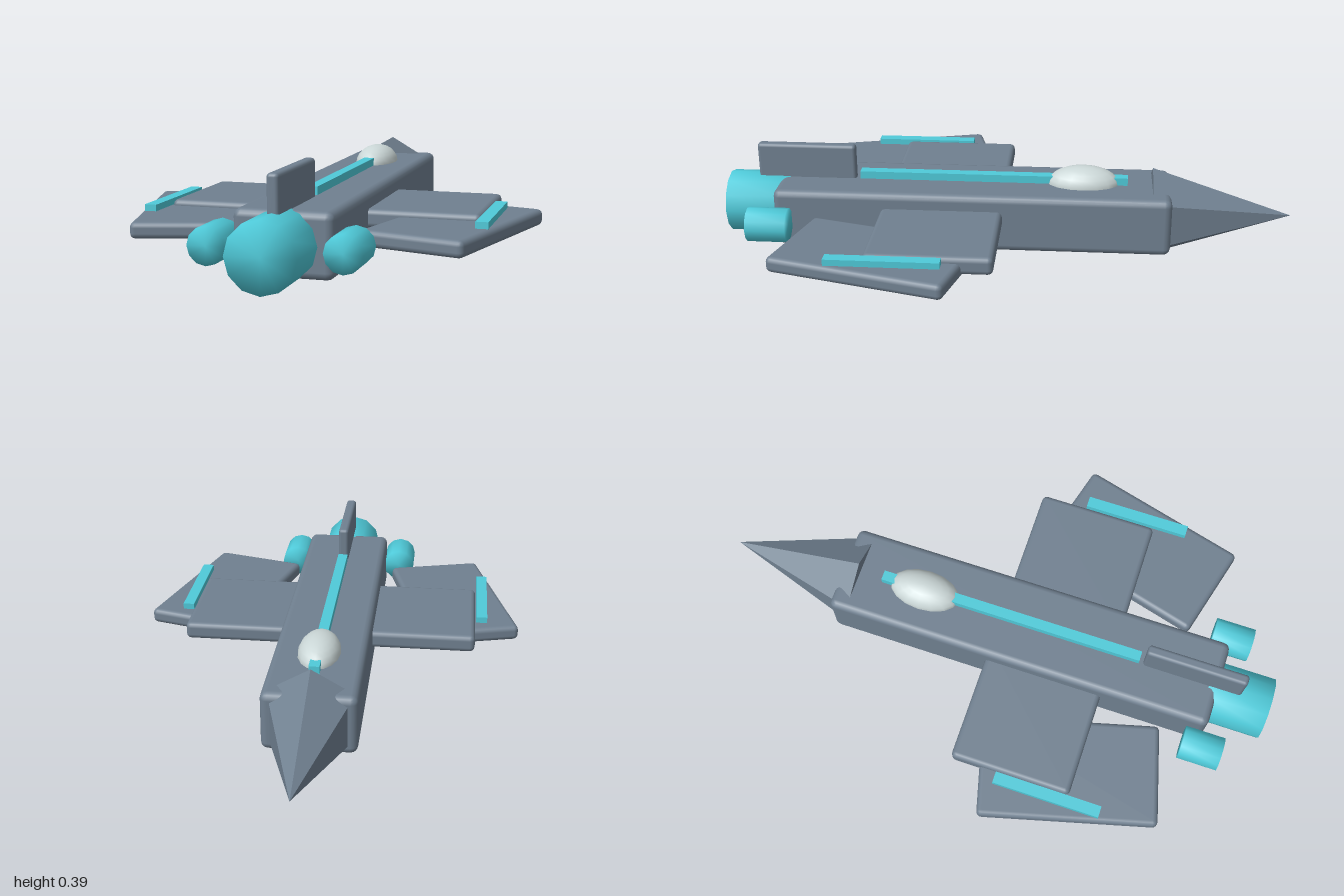
import * as THREE from 'three';
import { RoundedBoxGeometry } from 'three/addons/geometries/RoundedBoxGeometry.js';
import { mergeVertices } from 'three/addons/utils/BufferGeometryUtils.js';

const AXIS_Y = 0.17; // height of the fuselage centre line

function paint(name, color, flatShading = false) {
  const m = new THREE.MeshStandardMaterial({ color, flatShading });
  m.name = name;
  return m;
}

export function createModel() {
  const model = new THREE.Group();
  model.name = 'spacecraft';

  const hull = paint('hull grey', 0x708090);
  const noseHull = hull.clone();
  noseHull.flatShading = true;
  const glow = paint('glow cyan', 0x4fcad9);
  const glass = paint('canopy glass', 0xcbd7d7);

  function add(name, geometry, material, x, y, z) {
    const mesh = new THREE.Mesh(geometry, material);
    mesh.name = name;
    mesh.position.set(x, y, z);
    model.add(mesh);
    return mesh;
  }
  const slab = (w, h, d, r) => new RoundedBoxGeometry(w, h, d, 2, r);

  // Engine drum: normals are shared over the rim, so it shades softly
  function engine(radius, length) {
    const g = new THREE.CylinderGeometry(radius, radius, length, 12);
    g.rotateX(Math.PI / 2);
    g.deleteAttribute('normal');
    g.deleteAttribute('uv');
    const merged = mergeVertices(g, 1e-4);
    merged.computeVertexNormals();
    return merged;
  }

  // Fuselage and six-sided nose pointing to -z
  add('fuselage', slab(0.315, 0.206, 1.39, 0.025), hull, 0, AXIS_Y, 0.12);
  const nose = new THREE.ConeGeometry(0.166, 0.49, 6);
  nose.rotateX(-Math.PI / 2);
  add('nose', nose, noseHull, 0, AXIS_Y, -0.755);

  // Canopy, spine light and tail fin along the top
  const canopy = add('canopy', new THREE.SphereGeometry(1, 16, 12), glass, 0, 0.272, -0.267);
  canopy.scale.set(0.073, 0.064, 0.127);
  add('spineLight', new THREE.BoxGeometry(0.036, 0.04, 0.95), glow, 0, 0.28, 0.052);
  add('tailFin', slab(0.038, 0.14, 0.352, 0.012), hull, 0, 0.325, 0.718);

  add('mainEngine', engine(0.11, 0.22), glow, 0, AXIS_Y, 0.89);

  // Mirrored wings, lights and side engines
  for (const [side, s] of [['left', 1], ['right', -1]]) {
    add(side + 'InnerWing', slab(0.425, 0.062, 0.425, 0.018), hull, s * 0.31, 0.187, 0.223);
    const outer = add(side + 'OuterWing', slab(0.35, 0.054, 0.616, 0.018), hull, s * 0.435, 0.171, 0.41);
    outer.rotation.y = -s * Math.PI / 12;
    add(side + 'WingLight', new THREE.BoxGeometry(0.04, 0.025, 0.376), glow, s * 0.546, 0.207, 0.364);
    add(side + 'Engine', engine(0.06, 0.14), glow, s * 0.21, AXIS_Y, 0.82);
  }
  return model;
}
